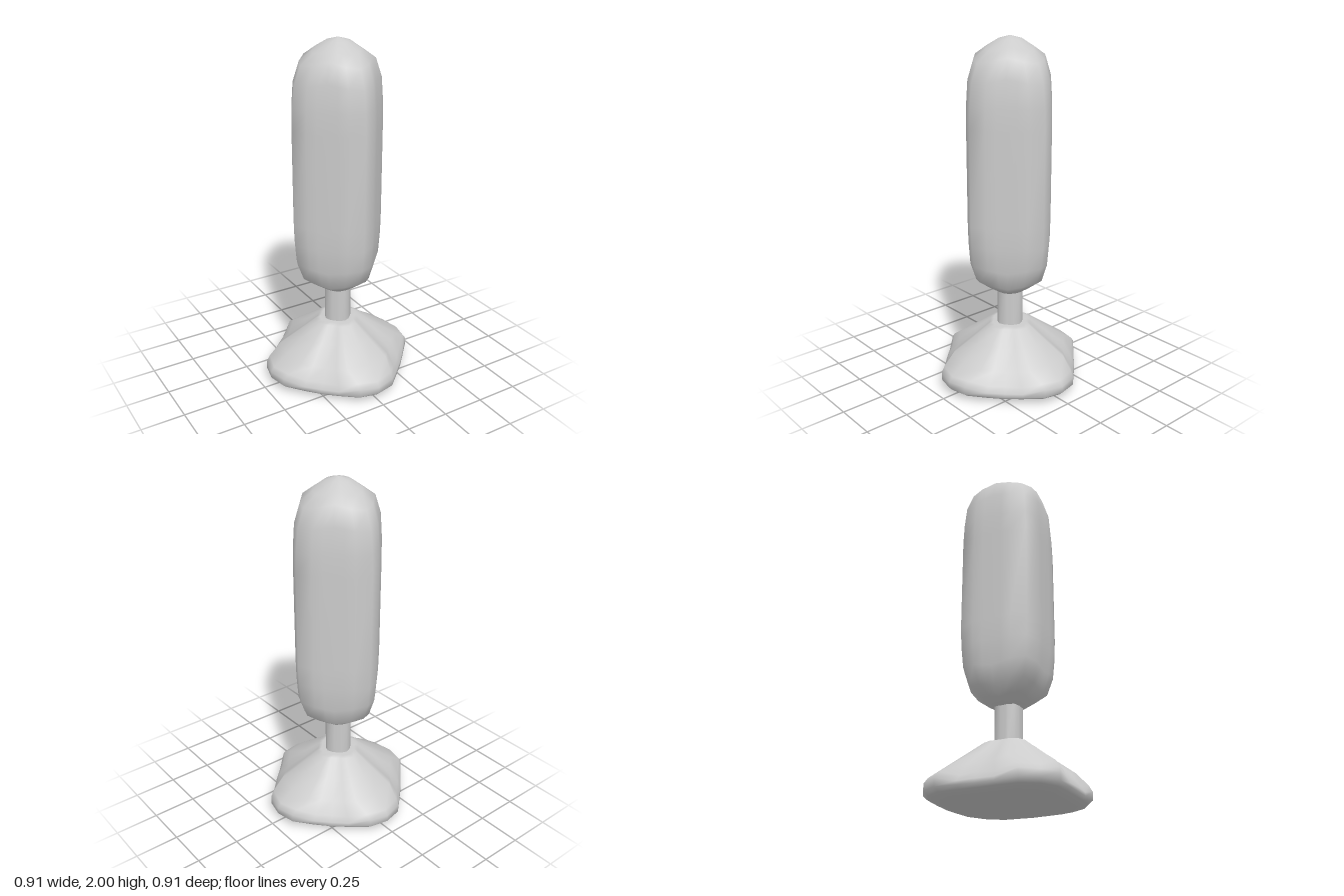
import * as THREE from 'three';

// One cross-section with four-fold symmetry, given by the points of an eighth turn:
// corner [r, y], point beside the corner [x, z, y], middle of the flat side [s, y],
// and optionally the point between those two [x, z, y].
function ring([r, cy], [nx, nz, ny], [s, my], q) {
  const [qx, qz, qy] = q ?? [(nx + s) / 2, (nz + s) / 2, (ny + my) / 2];
  const quarter = [[r, cy, 0], [nx, ny, nz], [qx, qy, qz], [s, my, s], [qz, qy, qx], [nz, ny, nx]];
  const points = [];
  for (let k = 0; k < 4; k++) {
    const c = Math.round(Math.cos(k * Math.PI / 2)), d = Math.round(Math.sin(k * Math.PI / 2));
    for (const [x, y, z] of quarter) points.push([x * c - z * d, y, x * d + z * c]);
  }
  return points;
}

const pole = (y) => ring([0, y], [0, 0, y], [0, y]);

// Smooth skin over rings listed from bottom to top
function loft(name, rings) {
  const n = rings[0].length, index = [];
  for (let i = 0; i < rings.length - 1; i++) {
    for (let j = 0; j < n; j++) {
      const a = i * n + j, b = i * n + (j + 1) % n, c = a + n, d = b + n;
      if (i > 0) index.push(a, c, b);
      else index.push(a, c, d); // first ring is a pole
      if (i > 0 && i < rings.length - 2) index.push(b, c, d);
    }
  }
  const geometry = new THREE.BufferGeometry();
  geometry.setAttribute('position', new THREE.Float32BufferAttribute(rings.flat(2), 3));
  geometry.setIndex(index);
  geometry.computeVertexNormals();
  const mesh = new THREE.Mesh(geometry, new THREE.MeshStandardMaterial({ color: 0xcccccc }));
  mesh.name = name;
  return mesh;
}

export function createModel() {
  const group = new THREE.Group();
  group.name = 'stand';

  // Broad foot with four blunt corners and shallow notches beside them
  group.add(loft('base', [
    pole(0),
    ring([0.27, 0.003], [0.25, 0.08, 0.003], [0.17, 0.002]),
    ring([0.36, 0.012], [0.34, 0.1, 0.012], [0.225, 0.01]),
    ring([0.43, 0.028], [0.405, 0.1, 0.028], [0.262, 0.024], [0.33, 0.19, 0.026]),
    ring([0.455, 0.052], [0.43, 0.108, 0.05], [0.275, 0.042], [0.345, 0.2, 0.045]),
    ring([0.455, 0.09], [0.43, 0.108, 0.095], [0.273, 0.065], [0.343, 0.199, 0.065]),
    ring([0.435, 0.118], [0.405, 0.115, 0.125], [0.26, 0.1], [0.325, 0.19, 0.095]),
    ring([0.35, 0.18], [0.325, 0.13, 0.18], [0.22, 0.16], [0.275, 0.175, 0.165]),
    ring([0.24, 0.26], [0.215, 0.085, 0.26], [0.145, 0.25]),
    ring([0.14, 0.333], [0.125, 0.045, 0.333], [0.083, 0.33]),
    ring([0.115, 0.34], [0.1, 0.04, 0.34], [0.068, 0.34]),
    pole(0.34),
  ]));

  // Short neck
  const neck = (y) => ring([0.082, y], [0.07, 0.032, y], [0.052, y]);
  group.add(loft('neck', [pole(0.31), neck(0.31), neck(0.31), neck(0.58), neck(0.58), pole(0.58)]));

  // Tall rounded body: half the height profile, mirrored about its middle
  const middle = 1.257;
  const half = [ // corner radius, its height; beside the corner; flat side; heights above the middle
    [[0.283, 0.27], [0.242, 0.08, 0.27], [0.163, 0.27]],
    [[0.278, 0.39], [0.239, 0.08, 0.39], [0.161, 0.395]],
    [[0.265, 0.51], [0.23, 0.077, 0.52], [0.153, 0.54]],
    [[0.227, 0.613], [0.195, 0.07, 0.625], [0.132, 0.645]],
    [[0.15, 0.67], [0.13, 0.05, 0.675], [0.087, 0.69]],
    [[0.07, 0.723], [0.062, 0.025, 0.725], [0.042, 0.728]],
  ];
  const section = (row, side) => ring(...row.map((p) => [...p.slice(0, -1), middle + side * p.at(-1)]));
  group.add(loft('body', [
    pole(middle - 0.743),
    ...[...half].reverse().map((row) => section(row, -1)),
    ...half.map((row) => section(row, 1)),
    pole(middle + 0.743),
  ]));

  return group;
}
